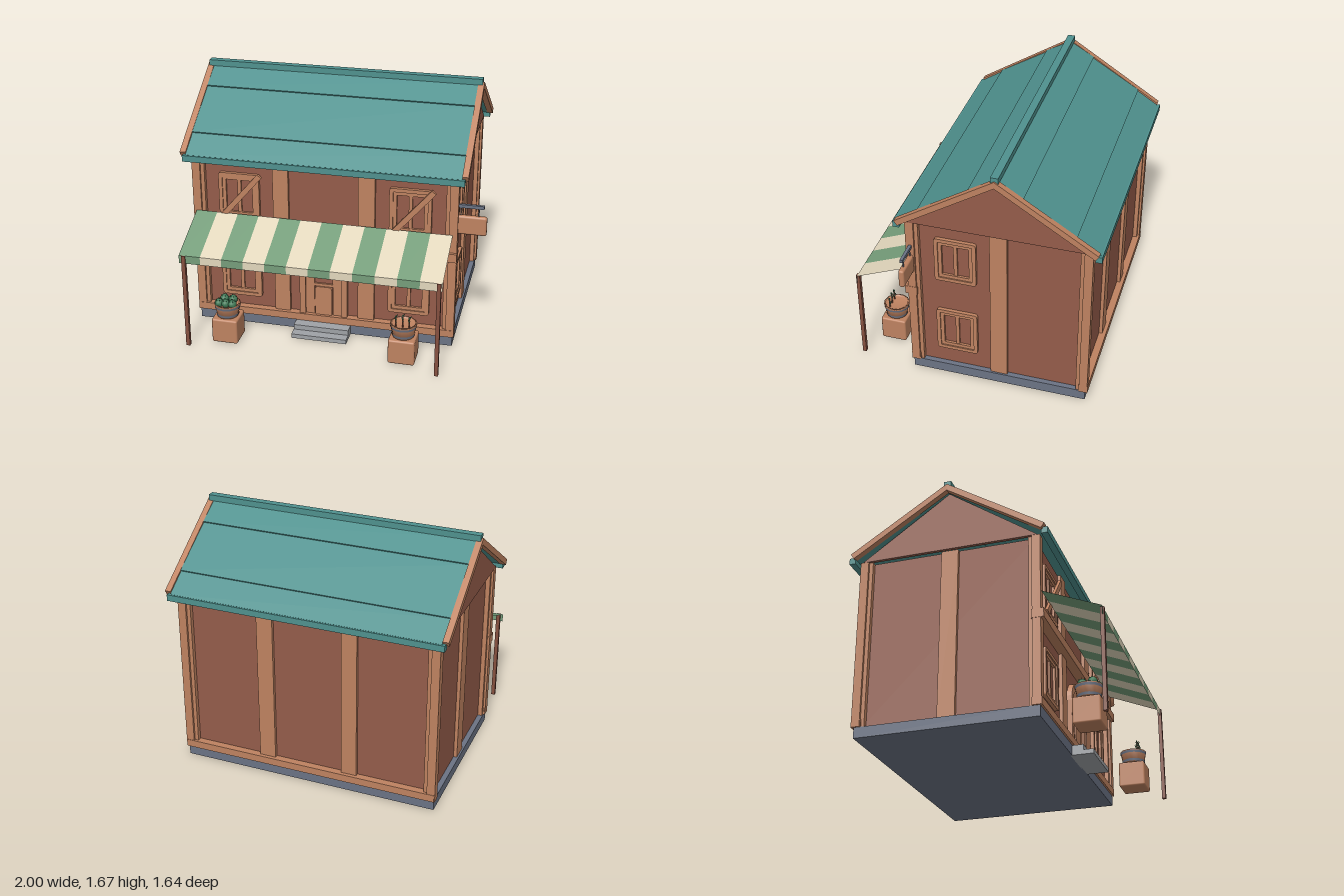
import * as THREE from 'three';
import { RoundedBoxGeometry } from 'three/addons/geometries/RoundedBoxGeometry.js';

const mat = (name, color, extra = {}) => {
  const m = new THREE.MeshStandardMaterial({ color, ...extra });
  m.name = name;
  return m;
};

export function createModel() {
  const wood = mat('wood', 0xbe8260), brick = mat('wall', 0x945c4a), teal = mat('roofTeal', 0x4f918e);
  const slate = mat('slate', 0x6b7384), stone = mat('stone', 0x9fa2a6);
  const cream = mat('cream', 0xe2d7bc, { side: THREE.DoubleSide });
  const green = mat('awningGreen', 0x759d7a, { side: THREE.DoubleSide });
  const post = mat('postBrown', 0x85503f), leaf = mat('leaf', 0x3f7a56);

  const house = new THREE.Group();
  house.name = 'house';
  const add = (name, geo, material, parent = house) => {
    const m = new THREE.Mesh(geo, material);
    m.name = name;
    parent.add(m);
    return m;
  };
  // box given by its two corners
  const box = (name, material, x0, x1, y0, y1, z0, z1, parent) => {
    const m = add(name, new THREE.BoxGeometry(x1 - x0, y1 - y0, z1 - z0), material, parent);
    m.position.set((x0 + x1) / 2, (y0 + y1) / 2, (z0 + z1) / 2);
    return m;
  };
  const extrude = (shape, depth) =>
    new THREE.ExtrudeGeometry(shape, { depth, bevelEnabled: false, curveSegments: 8 });
  // profile of [z, y] points extruded along x
  const profileX = (name, pts, x0, x1, material) => {
    const g = extrude(new THREE.Shape(pts.map(([z, y]) => new THREE.Vector2(-z, y))), x1 - x0);
    g.rotateY(Math.PI / 2);
    add(name, g, material).position.setX(x0);
  };

  const CX = -0.06, CZ = -0.16;
  const WALL_X = 0.775, WALL_Z = 0.395;

  // foundation and walls; the gables stand proud of the walls
  box('foundation', slate, -0.93, 0.81, 0, 0.07, -0.745, 0.43);
  box('walls', brick, 2 * CX - WALL_X, WALL_X, 0.07, 1.2, 2 * CZ - WALL_Z, WALL_Z);
  for (const x of [-0.942, 0.8]) profileX('gable', [[0.425, 1.2], [CZ, 1.605], [-0.745, 1.2]], x, x + 0.022, brick);

  // timber framing
  for (const sx of [-1, 1]) for (const sz of [-1, 1]) {
    const corner = (hx, hz, w) => {
      const x = CX + sx * (hx - w / 2), z = CZ + sz * (hz - w / 2);
      box('cornerPost', wood, x - w / 2, x + w / 2, 0.07, 1.2, z - w / 2, z + w / 2);
    };
    corner(0.88, 0.6, 0.055);
    corner(0.865, 0.585, 0.065);
  }
  for (const [z0, z1] of [[0.38, 0.418], [-0.738, -0.7]]) {
    box('wallPost', wood, -0.4, -0.295, 0.07, 1.2, z0, z1);
    box('wallPost', wood, 0.17, 0.28, 0.07, 1.2, z0, z1);
  }
  for (const x of [-0.905, 0.785]) box('sidePost', wood, x - 0.013, x + 0.013, 0.07, 1.2, -0.215, -0.102);
  box('frontSill', wood, -0.935, 0.815, 0.07, 0.12, 0.38, 0.443);
  box('backSill', wood, -0.935, 0.815, 0.07, 0.12, -0.763, -0.7);
  box('frontBelt', wood, -0.942, 0.822, 0.63, 0.69, 0.38, 0.46);

  // roof: half profiles of [distance from ridge, y], mirrored front to back
  const mirrored = (half) => [...half.map(([d, y]) => [CZ + d, y]),
    ...half.slice(1, -1).reverse().map(([d, y]) => [CZ - d, y])];
  const slope = (d) => 1.638 - 0.638 * d;
  // three overlapping courses on each side
  const courses = [[0, slope(0)]];
  for (const d of [0.167, 0.497]) courses.push([d + 0.005, slope(d) + 0.0085], [d, slope(d)]);
  profileX('roof', mirrored([...courses, [0.65, slope(0.65)], [0.636, slope(0.65) - 0.022], [0, 1.61]]),
    -0.96, 0.84, teal);
  for (const x of [-1, 0.84])
    profileX('bargeBoard', mirrored([[0, 1.647], [0.645, 1.24], [0.624, 1.207], [0, 1.601]]), x, x + 0.04, wood);
  box('ridgeCap', teal, -0.99, 0.87, 1.63, 1.67, CZ - 0.025, CZ + 0.025);
  for (const z of [CZ - 0.64, CZ + 0.64]) box('eaveStrip', teal, -0.98, 0.86, 1.18, 1.222, z - 0.021, z + 0.021);

  // windows
  const roundRect = (P, w, h, r) => {
    const p = new P(), a = w / 2, b = h / 2;
    p.moveTo(-a + r, -b).lineTo(a - r, -b).quadraticCurveTo(a, -b, a, -b + r);
    p.lineTo(a, b - r).quadraticCurveTo(a, b, a - r, b);
    p.lineTo(-a + r, b).quadraticCurveTo(-a, b, -a, b - r);
    p.lineTo(-a, -b + r).quadraticCurveTo(-a, -b, -a + r, -b);
    return p;
  };
  const frame = (w, h, r, t, depth) => {
    const s = roundRect(THREE.Shape, w, h, r);
    s.holes.push(roundRect(THREE.Path, w - 2 * t, h - 2 * t, 0.004));
    return extrude(s, depth);
  };
  const addWindow = (x, y, z, turn) => {
    const g = new THREE.Group();
    g.name = 'window';
    add('windowFrame', frame(0.275, 0.325, 0.022, 0.025, 0.024), wood, g);
    add('windowInnerFrame', frame(0.23, 0.28, 0.005, 0.026, 0.016), wood, g);
    box('windowBar', wood, -0.012, 0.012, -0.12, 0.12, 0, 0.012, g);
    g.position.set(x, y, z);
    g.rotation.y = turn;
    house.add(g);
  };
  for (const y of [0.36, 0.93]) {
    addWindow(-0.63, y, WALL_Z, 0);
    addWindow(0.51, y, WALL_Z, 0);
    addWindow(WALL_X, y, 0.125, Math.PI / 2);
  }
  // diagonal planks over the upper windows
  for (const x of [-0.636, 0.508]) {
    const plank = add('diagonalPlank', new THREE.BoxGeometry(0.48, 0.036, 0.02), wood);
    plank.position.set(x, 0.915, 0.436);
    plank.rotation.z = 0.866;
  }

  // arched door
  const arch = (P, w, y0, top) => {
    const p = new P(), r = w / 2;
    p.moveTo(-r, y0).lineTo(r, y0).lineTo(r, top - r).absarc(0, top - r, r, 0, Math.PI, false);
    return p.lineTo(-r, y0);
  };
  const door = new THREE.Group();
  door.name = 'door';
  door.position.set(-0.063, 0, WALL_Z);
  house.add(door);
  const ring = (w, top, wi, topI, depth) => {
    const s = arch(THREE.Shape, w, 0.07, top);
    s.holes.push(arch(THREE.Path, wi, 0.08, topI));
    return extrude(s, depth);
  };
  add('doorSurround', ring(0.325, 0.55, 0.245, 0.505, 0.035), wood, door);
  add('doorFrame', ring(0.245, 0.505, 0.125, 0.455, 0.022), wood, door);
  add('doorLeaf', extrude(arch(THREE.Shape, 0.125, 0.08, 0.455), 0.009), brick, door);
  box('doorRail', wood, -0.0625, 0.0625, 0.33, 0.35, 0, 0.022, door);
  add('doorPanel', extrude(roundRect(THREE.Shape, 0.115, 0.23, 0.025), 0.03), wood, door).position.y = 0.215;

  // steps
  box('upperStep', stone, -0.25, 0.125, 0, 0.065, 0.42, 0.505);
  box('lowerStep', stone, -0.25, 0.125, 0, 0.03, 0.5, 0.57);

  // striped awning with a hanging front edge
  const w = 1.71 / 12;
  for (let i = 0; i < 12; i++) {
    const a = -0.92 + i * w, b = a + w;
    const g = new THREE.BufferGeometry();
    const rows = [[0.815, 0.44], [0.66, 0.81], [0.66, 0.81], [0.605, 0.81]];
    g.setAttribute('position', new THREE.Float32BufferAttribute(
      rows.flatMap(([y, z]) => [a, y, z, b, y, z]), 3));
    g.setIndex([0, 2, 1, 1, 2, 3, 4, 6, 5, 5, 6, 7]);
    g.computeVertexNormals();
    add('awningStripe', g, i % 2 ? cream : green);
  }
  for (const x of [-0.889, 0.768]) box('awningPost', post, x - 0.013, x + 0.013, 0, 0.66, 0.793, 0.818);

  // planters
  const planter = (x) => {
    const g = new THREE.Group();
    g.name = 'planter';
    g.position.set(x, 0, 0.654);
    house.add(g);
    add('pedestal', new RoundedBoxGeometry(0.174, 0.17, 0.174, 2, 0.012), wood, g).position.y = 0.089;
    const pot = [[0, 0.175], [0.07, 0.175], [0.088, 0.265], [0.076, 0.265], [0.074, 0.25], [0, 0.25]];
    add('pot', new THREE.LatheGeometry(pot.map(p => new THREE.Vector2(...p)), 14), wood, g);
    for (const [y, r] of [[0.193, 0.075], [0.25, 0.086]])
      add('potBand', new THREE.CylinderGeometry(r + 0.003, r, 0.016, 14, 1, true), slate, g).position.y = y;
    return g;
  };
  const left = planter(-0.66), right = planter(0.525);
  // a cone leaf leaning outward from a centre
  const leanLeaf = (name, parent, r, h, t, lean, x, y, z, out) => {
    const c = add(name, new THREE.ConeGeometry(r, h, 4), leaf, parent);
    c.position.set(x + Math.cos(t) * out, y, z + Math.sin(t) * out);
    c.rotation.set(Math.sin(t) * lean, 0, -Math.cos(t) * lean);
  };
  // round succulents: a ball ringed by small leaves
  for (const [x, z] of [[-0.045, 0.034], [0, 0.034], [0.045, 0.034], [-0.03, -0.034], [0.03, -0.034]]) {
    add('succulent', new THREE.IcosahedronGeometry(0.03, 1), leaf, left).position.set(x, 0.275, z);
    for (let i = 0; i < 6; i++)
      leanLeaf('succulentLeaf', left, 0.009, 0.03, i * Math.PI / 3, 0.5, x, 0.293, z, 0.016);
  }
  // tall sprigs with small pointed leaves
  for (const [x, z, h] of [[-0.045, 0.034, 0.345], [0, 0.034, 0.355], [0.042, 0.034, 0.34]]) {
    const stem = add('stem', new THREE.CylinderGeometry(0.004, 0.005, h - 0.26, 5), post, right);
    stem.position.set(x, (h + 0.26) / 2 - 0.02, z);
    for (let i = 0; i < 9; i++)
      leanLeaf('sprigLeaf', right, 0.007, 0.03, i * 2.1, 0.6, x, h - 0.012 - (i % 3) * 0.02, z, 0.007);
  }

  // hanging sign board beside the front corner
  box('signBar', slate, 0.81, 0.98, 1.003, 1.025, 0.4, 0.42);
  for (const x of [0.832, 0.947]) box('signHanger', slate, x - 0.003, x + 0.003, 0.94, 1.01, 0.407, 0.413);
  add('signBoard', new RoundedBoxGeometry(0.188, 0.128, 0.038, 2, 0.014), wood).position.set(0.906, 0.886, 0.41);

  return house;
}
